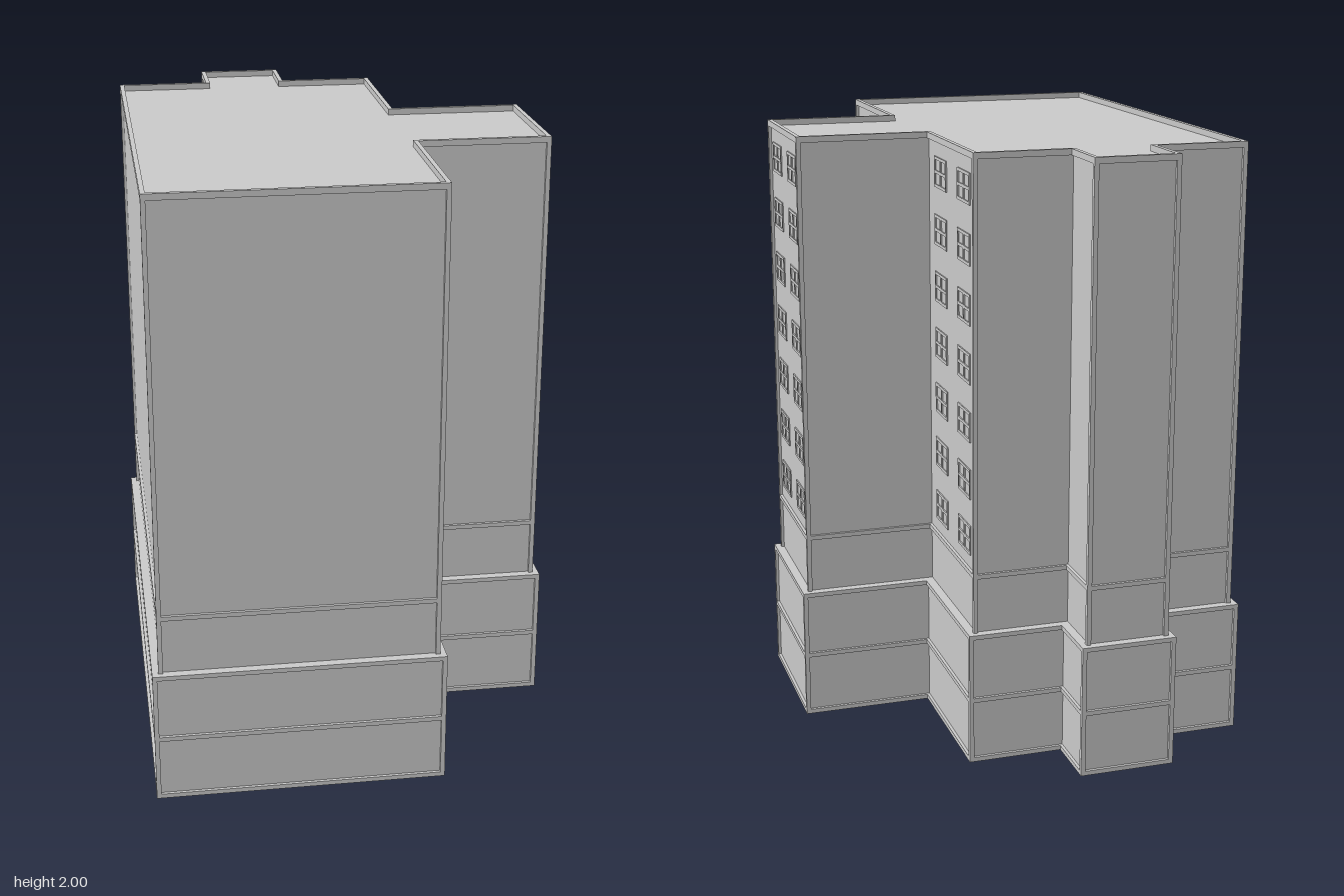
import * as THREE from 'three';

const material = new THREE.MeshStandardMaterial({ color: 0xcccccc });
const TRIM = 0.015;   // width of corner posts and floor bands
const RECESS = 0.01;  // depth of wall panels behind the trim

// Footprint, counter-clockwise, as (x, -z)
const footprint = [
  [-0.69, -0.885], [0.255, -0.885], [0.255, -0.36], [0.69, -0.36],
  [0.69, 0.165], [0.255, 0.165], [0.255, 0.685], [-0.06, 0.685],
  [-0.06, 0.885], [-0.38, 0.885], [-0.38, 0.685], [-0.69, 0.685],
].map(([x, y]) => new THREE.Vector2(x, y));

// Unit directions of the edges before and after a corner
function edgesAt(points, i) {
  const n = points.length;
  const before = points[i].clone().sub(points[(i + n - 1) % n]).normalize();
  const after = points[(i + 1) % n].clone().sub(points[i]).normalize();
  return [before, after];
}

// Move every wall of a right-angled outline inward by d
function inset(points, d) {
  return points.map((p, i) => {
    const [a, b] = edgesAt(points, i);
    return new THREE.Vector2(p.x - d * (a.y + b.y), p.y + d * (a.x + b.x));
  });
}

function addMesh(parent, name, geometry) {
  const mesh = new THREE.Mesh(geometry, material);
  mesh.name = name;
  parent.add(mesh);
  return mesh;
}

// Upright prism over an outline, optionally hollow
function addPrism(parent, name, points, y0, y1, hole) {
  const shape = new THREE.Shape(points);
  if (hole) shape.holes.push(new THREE.Path(hole));
  const geometry = new THREE.ExtrudeGeometry(shape, { depth: y1 - y0, bevelEnabled: false });
  geometry.rotateX(-Math.PI / 2).translate(0, y0, 0);
  return addMesh(parent, name, geometry);
}

// Posts on the outward corners only
function addPosts(parent, points, y0, y1) {
  const inner = inset(points, TRIM);
  points.forEach((p, i) => {
    const [a, b] = edgesAt(points, i);
    if (a.cross(b) < 0) return;
    const post = addMesh(parent, 'cornerPost', new THREE.BoxGeometry(TRIM, y1 - y0, TRIM));
    post.position.set((p.x + inner[i].x) / 2, (y0 + y1) / 2, -(p.y + inner[i].y) / 2);
  });
}

// Four-pane window frame on a wall facing +x
function createWindow(width, height) {
  const frame = new THREE.Group();
  frame.name = 'window';
  const bar = 0.01, depth = 0.006;
  for (const s of [-1, 0, 1]) {
    const rail = addMesh(frame, 'windowRail', new THREE.BoxGeometry(depth, bar, width));
    rail.position.y = s * (height - bar) / 2;
    const stile = addMesh(frame, 'windowStile', new THREE.BoxGeometry(depth, height, bar));
    stile.position.z = s * (width - bar) / 2;
  }
  return frame;
}

export function createModel() {
  const building = new THREE.Group();
  building.name = 'building';

  // Wider two-storey base
  const base = new THREE.Group();
  base.name = 'base';
  building.add(base);
  addPrism(base, 'baseWalls', inset(footprint, RECESS), 0.002, 0.44);
  for (const y of [0, 0.21, 0.43]) addPrism(base, 'floorBand', footprint, y, y + TRIM);
  addPosts(base, footprint, 0.001, 0.444);

  // Tower set back from the base
  const tower = new THREE.Group();
  tower.name = 'tower';
  building.add(tower);
  const outline = inset(footprint, 0.02);
  addPrism(tower, 'towerWalls', inset(outline, RECESS), 0.44, 1.98);
  addPrism(tower, 'floorBand', outline, 0.63, 0.645);
  addPrism(tower, 'parapet', outline, 1.98, 2, inset(outline, TRIM));
  addPosts(tower, outline, 0.44, 1.999);

  // Two columns of seven windows on each wall section of the left side
  const sections = [
    { x: 0.235, z0: 0.865, z1: 0.34 },
    { x: 0.67, z0: 0.34, z1: -0.145 },
    { x: 0.235, z0: -0.145, z1: -0.665 },
  ];
  for (const { x, z0, z1 } of sections) {
    for (const t of [0.25, 0.75]) {
      for (let row = 0; row < 7; row++) {
        const frame = createWindow(0.135, 0.1);
        frame.position.set(x - RECESS + 0.001, 0.74 + row * 0.19, THREE.MathUtils.lerp(z0, z1, t));
        tower.add(frame);
      }
    }
  }
  return building;
}
